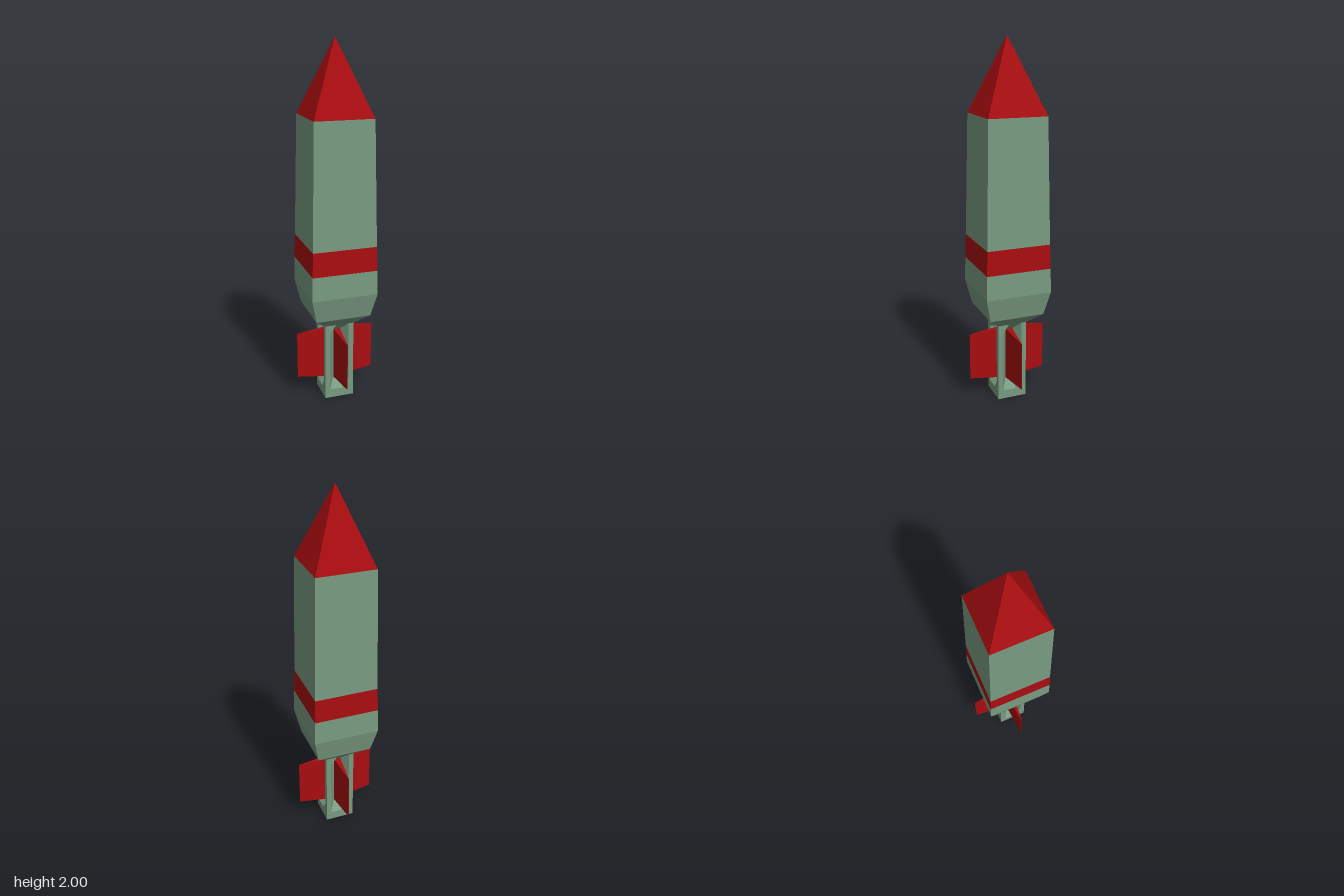
import * as THREE from 'three';

const green = new THREE.MeshStandardMaterial({ color: 0x789a80, flatShading: true });
const red = new THREE.MeshStandardMaterial({ color: 0xa80d10, flatShading: true });

// Repeat one side's [x, z] points around the four sides of a square section
function fourSides(points) {
  const ring = [];
  for (let side = 0; side < 4; side++) {
    for (const [x, z] of points) {
      let p = [x, z];
      for (let i = 0; i < side; i++) p = [p[1], -p[0]];
      ring.push(p);
    }
  }
  return ring;
}

const square = (h) => fourSides([[-h, h]]);

// Skin between horizontal sections { y, ring }, closed by flat caps
function loft(name, sections, material) {
  const pos = [];
  const tri = (...corners) => corners.forEach((c) => pos.push(...c));
  const at = (s, i) => {
    const [x, z] = s.ring[i % s.ring.length];
    return [x, s.y, z];
  };
  const n = sections[0].ring.length;
  const first = sections[0], last = sections[sections.length - 1];
  for (let k = 0; k < sections.length - 1; k++) {
    const lo = sections[k], hi = sections[k + 1];
    for (let i = 0; i < n; i++) {
      tri(at(lo, i), at(lo, i + 1), at(hi, i + 1));
      tri(at(lo, i), at(hi, i + 1), at(hi, i));
    }
  }
  for (let i = 0; i < n; i++) {
    tri([0, first.y, 0], at(first, i + 1), at(first, i));
    tri([0, last.y, 0], at(last, i), at(last, i + 1));
  }
  const geo = new THREE.BufferGeometry();
  geo.setAttribute('position', new THREE.Float32BufferAttribute(pos, 3));
  geo.computeVertexNormals();
  const mesh = new THREE.Mesh(geo, material);
  mesh.name = name;
  return mesh;
}

const squareLoft = (name, profile, material) =>
  loft(name, profile.map(([y, h]) => ({ y, ring: square(h) })), material);

// Square tail section with a tapered groove in each face, its bottom at distance d
const T = 0.083;
const tailRing = (d) => fourSides([[-T, T], [-0.055, T], [-0.02, d], [0.02, d], [0.055, T]]);

// Wedge fin along +x: thick inside the groove, thin and shorter at the tip
function makeFin() {
  const inner = 0.03, outer = 0.223;
  const geo = new THREE.BoxGeometry(1, 1, 1);
  const p = geo.attributes.position;
  for (let i = 0; i < p.count; i++) {
    const tip = p.getX(i) > 0;
    const up = p.getY(i) > 0;
    const y = tip ? (up ? 0.388 : 0.118) : (up ? 0.405 : 0.1);
    p.setXYZ(i, tip ? outer : inner, y, Math.sign(p.getZ(i)) * (tip ? 0.001 : 0.019));
  }
  geo.computeVertexNormals();
  return geo;
}

export function createModel() {
  const model = new THREE.Group();
  model.name = 'rocketBomb';

  // Tapered square hull with a painted band and pointed nose
  model.add(
    squareLoft('lowerBody', [[0.45, 0.083], [0.515, 0.155], [0.65, 0.185], [0.785, 0.182]], green),
    squareLoft('band', [[0.785, 0.182], [0.92, 0.178]], red),
    squareLoft('upperBody', [[0.92, 0.178], [1.6, 0.163]], green),
    squareLoft('noseCone', [[1.6, 0.163], [2, 0.0001]], red)
  );

  // Grooved tail post
  model.add(loft('tail', [[0, T], [0.05, T], [0.1, 0.03], [0.4, 0.03], [0.45, T]]
    .map(([y, d]) => ({ y, ring: tailRing(d) })), green));

  // Four fins
  const finGeo = makeFin();
  ['leftFin', 'backFin', 'rightFin', 'frontFin'].forEach((name, i) => {
    const fin = new THREE.Mesh(finGeo, red);
    fin.name = name;
    fin.rotation.y = i * Math.PI / 2;
    model.add(fin);
  });

  return model;
}
